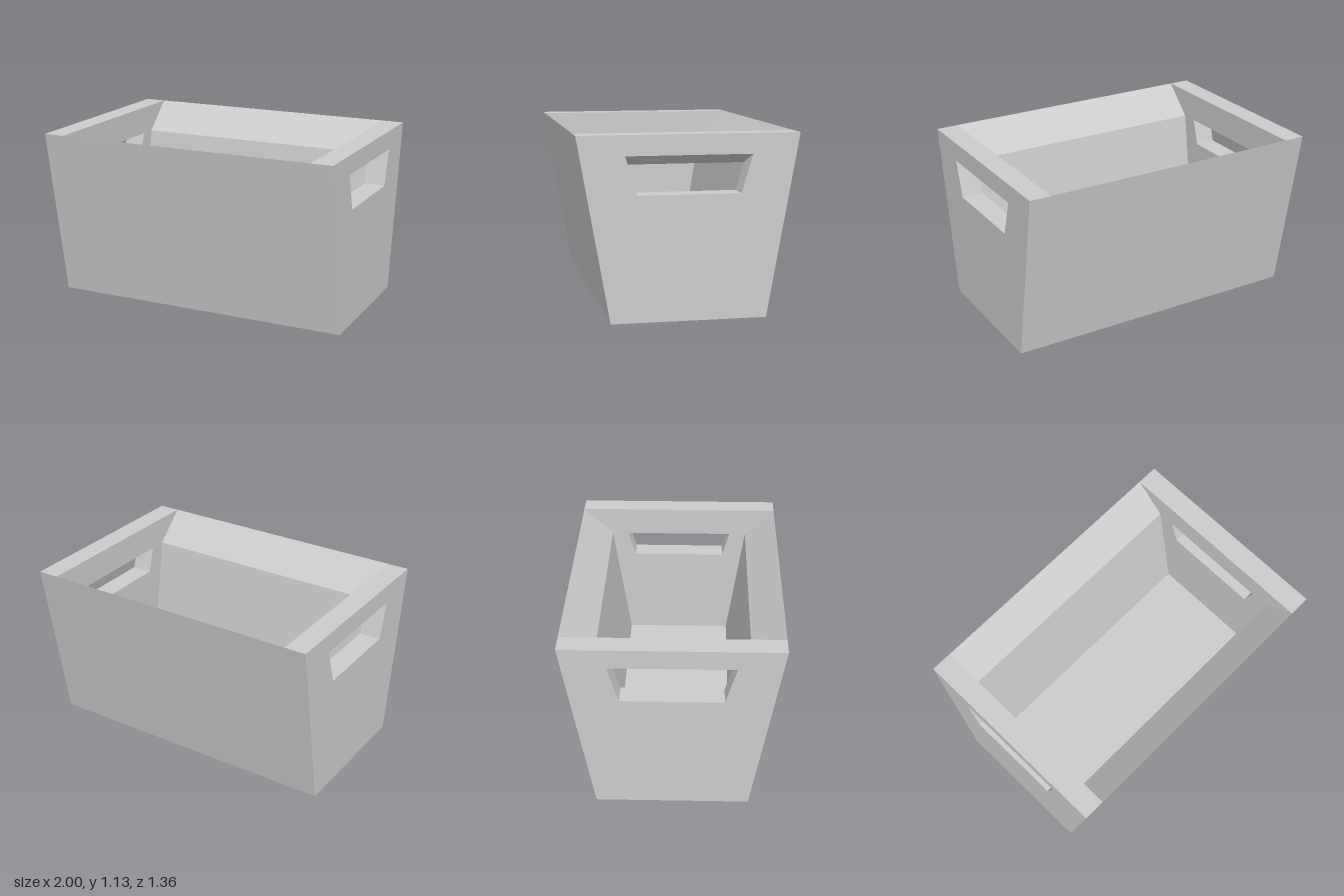
import * as THREE from 'three';

const HALF = 1, WALL = 0.14, INNER = HALF - WALL;
const TOP = 1.13, FLOOR = 0.15, BEND = 0.94;

const shapeOf = (pts) => new THREE.Shape(pts.map(([a, b]) => new THREE.Vector2(a, b)));

// Extrudes a profile drawn in (z, y) along x, starting at x0
function extrudeX(shape, x0, length) {
  const geo = new THREE.ExtrudeGeometry(shape, { depth: length, bevelEnabled: false });
  geo.rotateY(Math.PI / 2);
  geo.translate(x0, 0, 0);
  return geo;
}

// Tapered end panel with a grip hole whose ceiling slopes down towards the inside
function endPanelGeometry() {
  const shape = shapeOf([[-0.48, 0], [0.48, 0], [0.68, TOP], [-0.68, TOP]]);
  const gripTop = 1.005;
  shape.holes.push(shapeOf([[-0.317, 0.77], [-0.388, gripTop], [0.388, gripTop], [0.317, 0.77]]));
  const geo = extrudeX(shape, INNER, WALL);
  const p = geo.attributes.position;
  for (let i = 0; i < p.count; i++) {
    if (p.getX(i) < INNER + 0.01 && Math.abs(p.getY(i) - gripTop) < 0.001) {
      p.setY(i, BEND);
      p.setZ(i, Math.sign(p.getZ(i)) * 0.368);
    }
  }
  geo.computeVertexNormals();
  return geo;
}

export function createModel() {
  const group = new THREE.Group();
  group.name = 'storageBin';
  const grey = new THREE.MeshStandardMaterial({ color: 0xcccccc });
  grey.name = 'lightGrey';

  // Floor with front and back walls, chamfered to a sharp rim
  const trough = shapeOf([
    [-0.48, 0], [0.48, 0], [0.68, TOP], [0.48, BEND], [0.36, FLOOR],
    [-0.36, FLOOR], [-0.48, BEND], [-0.68, TOP],
  ]);
  const body = new THREE.Mesh(extrudeX(trough, -INNER, INNER * 2), grey);
  body.name = 'floorAndLongWalls';
  group.add(body);

  // Matching end panels
  const panel = endPanelGeometry();
  for (const [name, turn] of [['leftEndPanel', 0], ['rightEndPanel', Math.PI]]) {
    const mesh = new THREE.Mesh(panel, grey);
    mesh.name = name;
    mesh.rotation.y = turn;
    group.add(mesh);
  }
  return group;
}
